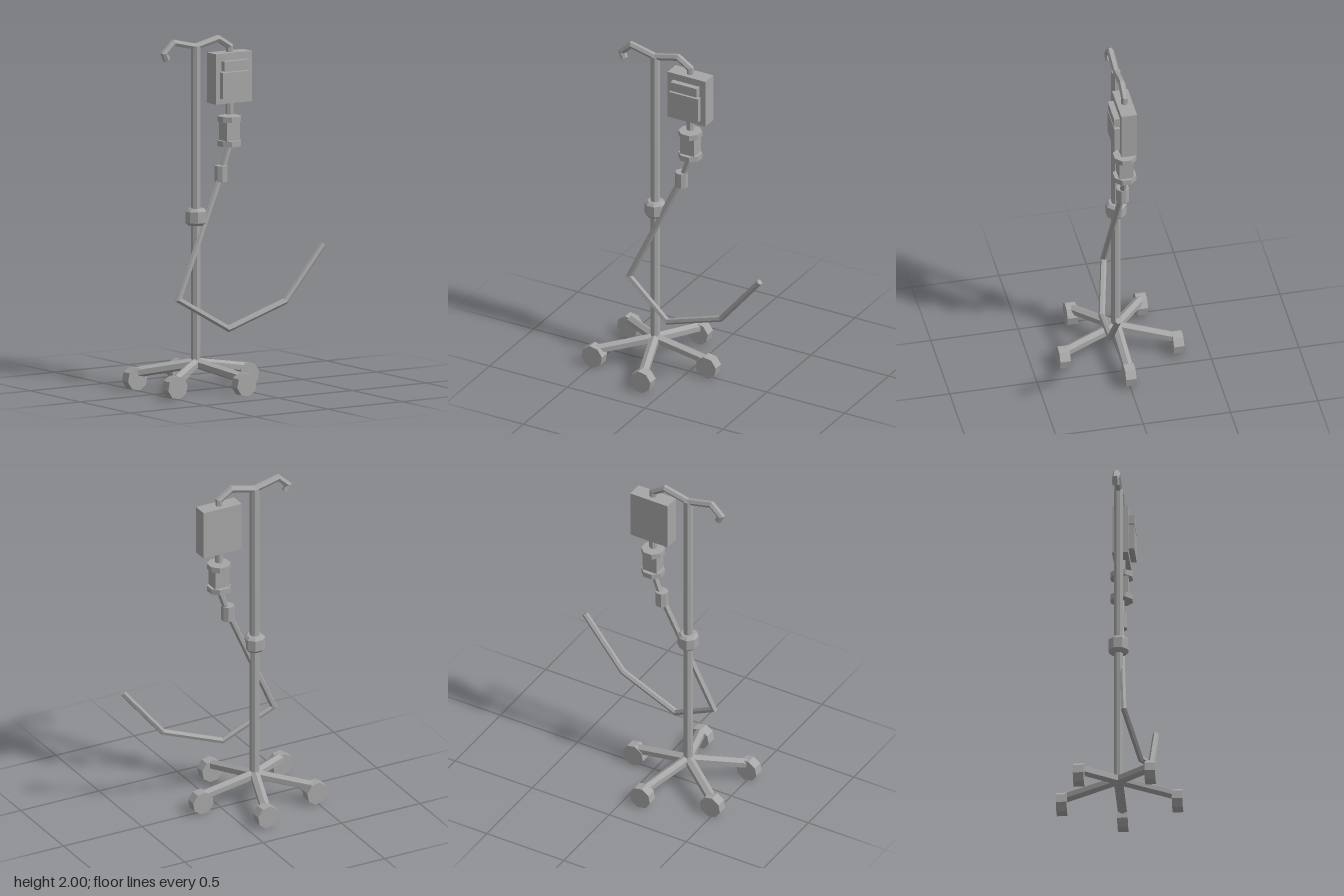
import * as THREE from 'three';

const POLE_X = -0.219;
const V = (x, y, z = 0) => new THREE.Vector3(x, y, z);

// Sweeps a regular polygon along straight segments with mitred corners and closed ends.
function mitredTube(points, radius, sides, ref, phase = 0) {
  const dirs = points.slice(1).map((p, i) => p.clone().sub(points[i]).normalize());
  const u = ref.clone().cross(dirs[0]).normalize();
  const v = dirs[0].clone().cross(u);
  let ring = [];
  for (let k = 0; k < sides; k++) {
    const a = phase + (k / sides) * Math.PI * 2;
    ring.push(points[0].clone().addScaledVector(u, Math.cos(a) * radius).addScaledVector(v, Math.sin(a) * radius));
  }
  const pos = [];
  const tri = (...ps) => ps.forEach((p) => pos.push(p.x, p.y, p.z));
  for (let k = 0; k < sides; k++) tri(points[0], ring[(k + 1) % sides], ring[k]);
  dirs.forEach((d, i) => {
    // Slide each corner along the segment to the mitre plane at its far end
    const end = points[i + 1];
    const n = d.clone().add(dirs[i + 1] ?? d).normalize();
    const next = ring.map((p) => p.clone().addScaledVector(d, end.clone().sub(p).dot(n) / d.dot(n)));
    for (let k = 0; k < sides; k++) {
      const j = (k + 1) % sides;
      tri(ring[k], ring[j], next[j]);
      tri(ring[k], next[j], next[k]);
    }
    ring = next;
  });
  const last = points[points.length - 1];
  for (let k = 0; k < sides; k++) tri(last, ring[k], ring[(k + 1) % sides]);
  const geo = new THREE.BufferGeometry();
  geo.setAttribute('position', new THREE.Float32BufferAttribute(pos, 3));
  geo.computeVertexNormals();
  return geo;
}

export function createModel() {
  const model = new THREE.Group();
  model.name = 'dripStand';
  const grey = new THREE.MeshStandardMaterial({ color: 0xa6a6a6, flatShading: true });
  grey.name = 'grey';

  const add = (name, geo, x = 0, y = 0, z = 0) => {
    const mesh = new THREE.Mesh(geo, grey);
    mesh.name = name;
    mesh.position.set(x, y, z);
    model.add(mesh);
    return mesh;
  };
  // Upright prism between two heights, with flat sides facing the axes
  const prism = (name, r, y0, y1, x, sides = 8) =>
    add(name, new THREE.CylinderGeometry(r, r, y1 - y0, sides).rotateY(Math.PI / sides), x, (y0 + y1) / 2);
  // Box given by its limits
  const block = (name, x0, x1, y0, y1, z0, z1) =>
    add(name, new THREE.BoxGeometry(x1 - x0, y1 - y0, z1 - z0), (x0 + x1) / 2, (y0 + y1) / 2, (z0 + z1) / 2);

  // Pole and bevelled height collar
  prism('pole', 0.027, 0.14, 1.95, POLE_X);
  const collar = [[0, -0.048], [0.044, -0.048], [0.06, -0.032], [0.06, 0.032], [0.044, 0.048], [0, 0.048]];
  add('collar', new THREE.LatheGeometry(collar.map(([r, y]) => new THREE.Vector2(r, y)), 8).rotateY(Math.PI / 8), POLE_X, 0.983);

  // Five sloping legs, each with a wheel whose axle runs front to back
  for (let i = 0; i < 5; i++) {
    const a = (i / 5) * Math.PI * 2;
    const at = (r, y) => V(POLE_X + Math.cos(a) * r, y, Math.sin(a) * r);
    add('leg', mitredTube([at(0, 0.155), at(0.325, 0.102)], 0.03, 6, V(0, 1), Math.PI / 6));
    const hub = at(0.342, 0.066);
    const wheel = new THREE.CylinderGeometry(0.067, 0.067, 0.06, 8).rotateX(Math.PI / 2).rotateZ(0.21);
    add('wheel', wheel, hub.x, hub.y, hub.z);
  }

  // Double hook across the top of the pole
  add('hook', mitredTube([
    V(-0.415, 1.885), V(-0.432, 1.922), V(-0.37, 1.98), V(POLE_X, 1.945),
    V(-0.07, 1.98), V(0.008, 1.93), V(0.008, 1.88),
  ], 0.02, 6, V(0, 0, 1), Math.PI / 6));

  // Bag with two raised front panels and a short outlet
  block('bag', -0.113, 0.13, 1.613, 1.898, -0.045, 0.045);
  block('lowerPanel', -0.087, 0.1, 1.645, 1.793, 0.04, 0.078);
  block('upperPanel', -0.077, 0.093, 1.803, 1.857, 0.04, 0.078);
  prism('bagOutlet', 0.023, 1.545, 1.62, 0.008);

  // Drip chamber: square body between two octagonal rims
  block('chamberBody', -0.037, 0.053, 1.38, 1.52, -0.04, 0.04);
  prism('chamberTopRim', 0.067, 1.503, 1.535, 0.008);
  prism('chamberBottomRim', 0.067, 1.365, 1.397, 0.008);

  // Flow clamp and hanging line
  prism('flowClamp', 0.037, 1.168, 1.258, -0.048);
  add('line', mitredTube([
    V(0.008, 1.37), V(-0.048, 1.213), V(-0.362, 0.528, 0.04), V(-0.075, 0.35, 0.113),
    V(0.288, 0.48, 0.143), V(0.54, 0.783, 0.151),
  ], 0.018, 6, V(0, 0, 1)));

  return model;
}
